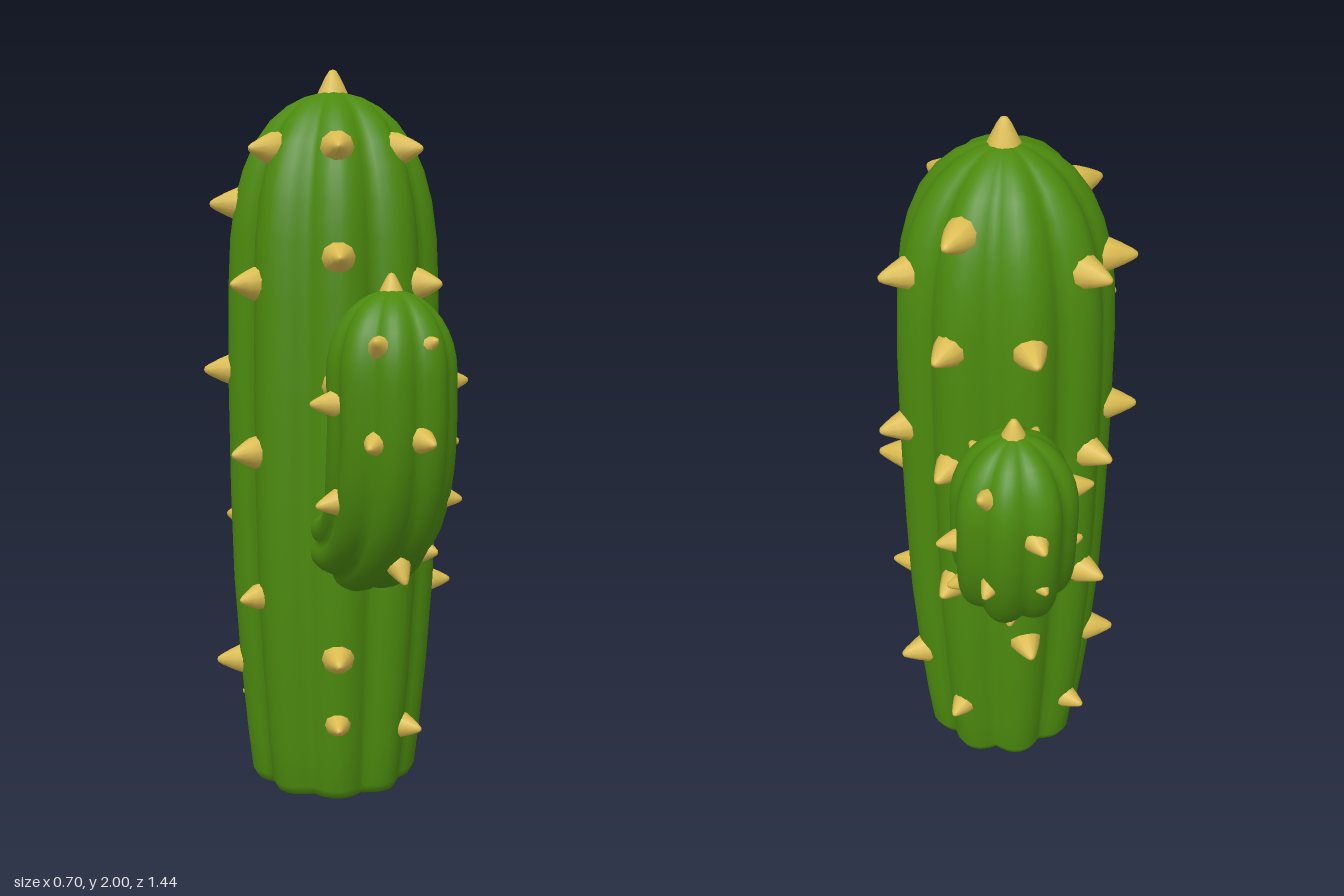
import * as THREE from 'three';

const V = (x, y, z) => new THREE.Vector3(x, y, z);
const UP = V(0, 1, 0);

// Ribbed skin swept along a curve; rows are [position along curve, radius]
function ribbedGeometry(curve, rows, ribs, depth) {
  const n = ribs * 8, pos = [], idx = [];
  rows.forEach(([u, r], i) => {
    const c = curve.getPointAt(u), t = curve.getTangentAt(u);
    const side = V(1, 0, 0).addScaledVector(t, -t.x).normalize();
    const out = side.clone().cross(t);
    for (let j = 0; j < n; j++) {
      const a = (j / n) * Math.PI * 2;
      const q = r * (1 - depth + depth * Math.abs(Math.sin((a * ribs) / 2)));
      const p = c.clone().addScaledVector(side, q * Math.sin(a)).addScaledVector(out, q * Math.cos(a));
      pos.push(p.x, p.y, p.z);
      if (i < rows.length - 1) {
        const k = (j + 1) % n, A = i * n + j, B = i * n + k;
        idx.push(A, B, B + n, A, B + n, A + n);
      }
    }
  });
  const g = new THREE.BufferGeometry();
  g.setAttribute('position', new THREE.Float32BufferAttribute(pos, 3));
  g.setIndex(idx);
  g.computeVertexNormals();
  return g;
}

// Rows for an arm: slim at the root, full along the length, domed at the tip
function armRows(length, radius) {
  const rows = [], dome = 1 - (radius * 1.25) / length;
  for (let i = 0; i <= 16; i++) {
    const s = i / 16;
    rows.push([s * dome, radius * (0.8 + 0.2 * Math.min(1, s * 1.5))]);
  }
  for (let i = 1; i <= 9; i++) {
    const a = (i / 9) * Math.PI / 2;
    rows.push([dome + (1 - dome) * Math.sin(a), radius * Math.max(0.001, Math.cos(a))]);
  }
  return rows;
}

export function createModel() {
  const model = new THREE.Group();
  model.name = 'cactus';
  const green = new THREE.MeshStandardMaterial({ color: 0x4c8a0e });
  green.name = 'cactus green';
  const straw = new THREE.MeshStandardMaterial({ color: 0xdabb50 });
  straw.name = 'spine straw';

  // Blunt spine, tip at height 0.1
  const spineGeo = new THREE.LatheGeometry(
    [[0.046, 0], [0.044, 0.025], [0.031, 0.055], [0.016, 0.085], [0.008, 0.097], [0, 0.1]]
      .map(([x, y]) => new THREE.Vector2(x, y)), 10);
  function addSpine(parent, tip, dir, size) {
    const m = new THREE.Mesh(spineGeo, straw);
    m.name = 'spine';
    m.scale.setScalar(size);
    m.quaternion.setFromUnitVectors(UP, dir);
    m.position.copy(tip).addScaledVector(dir, -0.1 * size);
    parent.add(m);
  }

  // Trunk
  const H = 1.94, CZ = -0.022;
  const profile = [[0, 0.001], [0, 0.1], [0.003, 0.19], [0.015, 0.222], [0.04, 0.236], [0.15, 0.249], [0.35, 0.268],
    [0.6, 0.285], [0.85, 0.292], [1.15, 0.295], [1.4, 0.293], [1.55, 0.286], [1.65, 0.272],
    [1.73, 0.25], [1.8, 0.219], [1.86, 0.175], [1.9, 0.128], [1.925, 0.08], [1.936, 0.04], [1.94, 0.001]];
  const trunk = new THREE.Group();
  trunk.name = 'trunk';
  const body = new THREE.Mesh(ribbedGeometry(
    new THREE.LineCurve3(V(0, 0, CZ), V(0, H, CZ)), profile.map(([y, r]) => [y / H, r]), 9, 0.13), green);
  body.name = 'trunkBody';
  trunk.add(body);
  const radiusAt = (y) => {
    const i = profile.findIndex((p) => p[0] > y), [y0, r0] = profile[i - 1], [y1, r1] = profile[i];
    return r0 + ((r1 - r0) * (y - y0)) / (y1 - y0);
  };

  // Trunk spines: angle from the front, then heights
  const columns = [
    [29, 1.78, 1.43, 1.13, 0.71, 0.2], [68, 0.98, 0.58], [101, 1.64, 1.19, 0.36],
    [138, 1.78, 1.5, 1.15, 0.75, 0.24], [180, 1.51, 0.96, 0.54], [-142, 1.67, 1.15, 0.74, 0.2],
    [-105, 1.64, 1.19, 0.36], [-72, 1.78, 1.43, 0.98, 0.58], [-21, 1.78, 1.5, 1.17, 0.43, 0.24],
  ];
  for (const [deg, ...heights] of columns) {
    const a = THREE.MathUtils.degToRad(deg), dir = V(Math.sin(a), 0, Math.cos(a));
    for (const y of heights) {
      const size = y < 0.3 || y === 0.58 ? 0.8 : 1;
      addSpine(trunk, V(0, y, CZ).addScaledVector(dir, radiusAt(y) + 0.065 * size), dir, size);
    }
  }
  addSpine(trunk, V(0, 2, CZ), UP, 1.2);
  model.add(trunk);

  // Arms: centre line, then spine tips pointing away from it
  function addArm(name, path, radius, tips) {
    const arm = new THREE.Group();
    arm.name = name;
    const curve = new THREE.CatmullRomCurve3(path.map((p) => V(...p)));
    const skin = new THREE.Mesh(ribbedGeometry(curve, armRows(curve.getLength(), radius), 8, 0.13), green);
    skin.name = name + 'Body';
    arm.add(skin);
    const dome = 1 - (radius * 1.1) / curve.getLength();
    const axis = Array.from({ length: 61 }, (_, i) => curve.getPointAt((i / 60) * dome));
    for (const t of tips) {
      const tip = V(...t);
      const near = axis.reduce((a, b) => (b.distanceTo(tip) < a.distanceTo(tip) ? b : a));
      const dir = tip.clone().sub(near).normalize();
      // keep the foot of each spine sunk into the skin
      const reach = THREE.MathUtils.clamp(near.distanceTo(tip), radius * 0.9, radius + 0.045);
      addSpine(arm, near.clone().addScaledVector(dir, reach), dir, 0.74);
    }
    const end = path[path.length - 1];
    addSpine(arm, V(end[0], end[1] + 0.04, end[2]), UP, 0.85);
    model.add(arm);
  }

  addArm('frontArm',
    [[-0.02, 0.75, 0.08], [-0.04, 0.765, 0.28], [-0.065, 0.86, 0.43], [-0.08, 1.04, 0.505], [-0.09, 1.24, 0.525], [-0.09, 1.43, 0.52]],
    0.158,
    [[-0.2, 1.32, 0.66], [-0.05, 1.32, 0.68], [-0.21, 1.07, 0.65], [-0.07, 1.08, 0.71], [0.1, 1.21, 0.56],
      [0.1, 0.91, 0.54], [-0.06, 0.71, 0.55], [-0.29, 1.16, 0.48], [-0.27, 0.91, 0.48], [-0.14, 1.31, 0.36],
      [0.03, 1.31, 0.39], [0.02, 1.1, 0.38], [-0.14, 1.09, 0.33], [-0.02, 0.94, 0.33]]);

  addArm('backArm',
    [[0.02, 0.88, -0.1], [0.045, 0.895, -0.3], [0.075, 0.965, -0.44], [0.095, 1.1, -0.52], [0.1, 1.28, -0.548], [0.1, 1.455, -0.54]],
    0.155,
    [[0.21, 1.37, -0.66], [0.06, 1.37, -0.67], [0.07, 1.24, -0.73], [0.2, 1.07, -0.66], [0.05, 1.07, -0.68],
      [0.29, 1.16, -0.54], [0.25, 0.94, -0.45], [0.11, 0.86, -0.55], [-0.09, 1.3, -0.57], [-0.09, 1.08, -0.5],
      [0.01, 1.37, -0.41], [0.18, 1.37, -0.43], [0.02, 1.21, -0.39], [0.2, 1.08, -0.37], [-0.06, 0.93, -0.42]]);

  return model;
}
